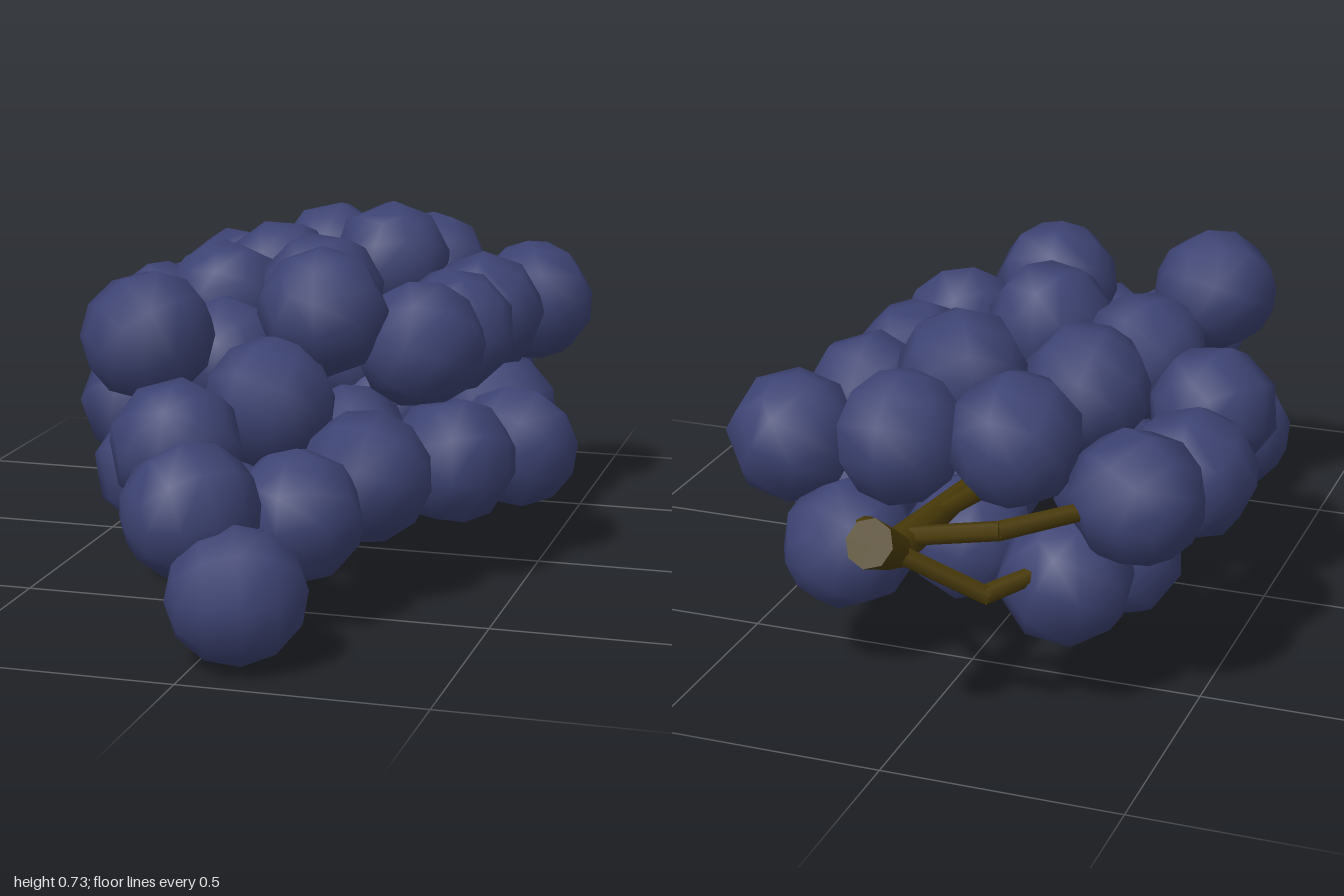
import * as THREE from 'three';

const berryMat = new THREE.MeshStandardMaterial({ color: 0x3d4373 });
berryMat.name = 'dusky blue';
const stemMat = new THREE.MeshStandardMaterial({ color: 0x4a3b09 });
stemMat.name = 'olive brown';

// Berry centres, from the stem end to the tip
const upperBerries = [
  [-0.39, 0.47, -0.6], [-0.13, 0.55, -0.58], [0.11, 0.53, -0.6], [0.37, 0.48, -0.55],
  [-0.43, 0.43, -0.36], [-0.17, 0.55, -0.27], [0.065, 0.59, -0.37], [0.3, 0.49, -0.31],
  [-0.4, 0.47, -0.1], [-0.22, 0.54, -0.02], [0.01, 0.575, 0.02], [0.28, 0.49, -0.09],
  [0.03, 0.41, -0.18], [-0.15, 0.46, 0.21], [0.08, 0.585, 0.26], [0.26, 0.5, 0.13],
  [-0.25, 0.55, 0.43], [0, 0.41, 0.38],
];
const lowerBerries = [
  [-0.25, 0.285, -0.62], [0.23, 0.28, -0.6], [-0.28, 0.24, -0.38], [0.04, 0.24, -0.4],
  [0.34, 0.26, -0.3], [0.43, 0.24, -0.065], [-0.37, 0.34, 0.13], [-0.17, 0.215, 0.065],
  [0.1, 0.26, 0.12], [0.34, 0.26, 0.17], [-0.23, 0.27, 0.42], [0.21, 0.27, 0.39],
  [0.1, 0.27, -0.15], [-0.2, 0.29, -0.15],
];
const tipBerries = [
  [-0.06, 0.18, 0.52], [-0.13, 0.36, 0.6], [0.12, 0.23, 0.59],
  [-0.04, 0.28, 0.78], [0.08, 0.14, 0.86],
];

let seed = 7;
const random = () => (seed = (seed * 16807) % 2147483647) / 2147483647;

// Chain of tapered rods through the points, with a radius at each point
function branch(name, points, radii, sides = 6) {
  const group = new THREE.Group();
  group.name = name;
  const p = points.map((a) => new THREE.Vector3(...a));
  for (let i = 0; i < p.length - 1; i++) {
    const d = p[i + 1].clone().sub(p[i]);
    const rod = new THREE.Mesh(
      new THREE.CylinderGeometry(radii[i + 1], radii[i], d.length() + 0.01, sides), stemMat);
    rod.name = name + 'Segment';
    rod.position.copy(p[i]).addScaledVector(d, 0.5);
    rod.quaternion.setFromUnitVectors(new THREE.Vector3(0, 1, 0), d.normalize());
    group.add(rod);
  }
  return group;
}

export function createModel() {
  const model = new THREE.Group();
  model.name = 'grapeBunch';

  // Low-poly round berries, each turned a different way
  const berryGeo = new THREE.SphereGeometry(0.141, 8, 6);
  const layers = { upperBerries, lowerBerries, tipBerries };
  for (const [name, centres] of Object.entries(layers)) {
    const group = new THREE.Group();
    group.name = name;
    for (const c of centres) {
      const berry = new THREE.Mesh(berryGeo, berryMat);
      berry.name = 'berry';
      berry.position.set(...c);
      berry.rotation.set(random() * 6.28, random() * 6.28, random() * 6.28);
      group.add(berry);
    }
    model.add(group);
  }

  // Main stem with an upturned end, and the spine inside the bunch
  model.add(
    branch('mainStem', [[0.02, 0.465, -0.967], [0.015, 0.41, -0.87], [0, 0.4, -0.55]],
      [0.05, 0.038, 0.024], 8),
    branch('spine', [[0, 0.4, -0.55], [-0.02, 0.38, 0], [0, 0.32, 0.4]],
      [0.024, 0.02, 0.015]),
  );

  // Side twigs reaching to the outer berries
  const twigs = [
    [[0.01, 0.42, -0.82], [-0.18, 0.455, -0.81], [-0.33, 0.46, -0.65]],
    [[0.01, 0.42, -0.89], [-0.15, 0.315, -0.81], [-0.23, 0.33, -0.7]],
    [[0.02, 0.42, -0.86], [0.14, 0.37, -0.7], [0.24, 0.32, -0.6]],
    [[0.01, 0.41, -0.7], [-0.07, 0.42, -0.48], [-0.16, 0.45, -0.3]],
  ];
  for (const t of twigs) model.add(branch('twig', t, [0.02, 0.02, 0.018]));

  return model;
}
